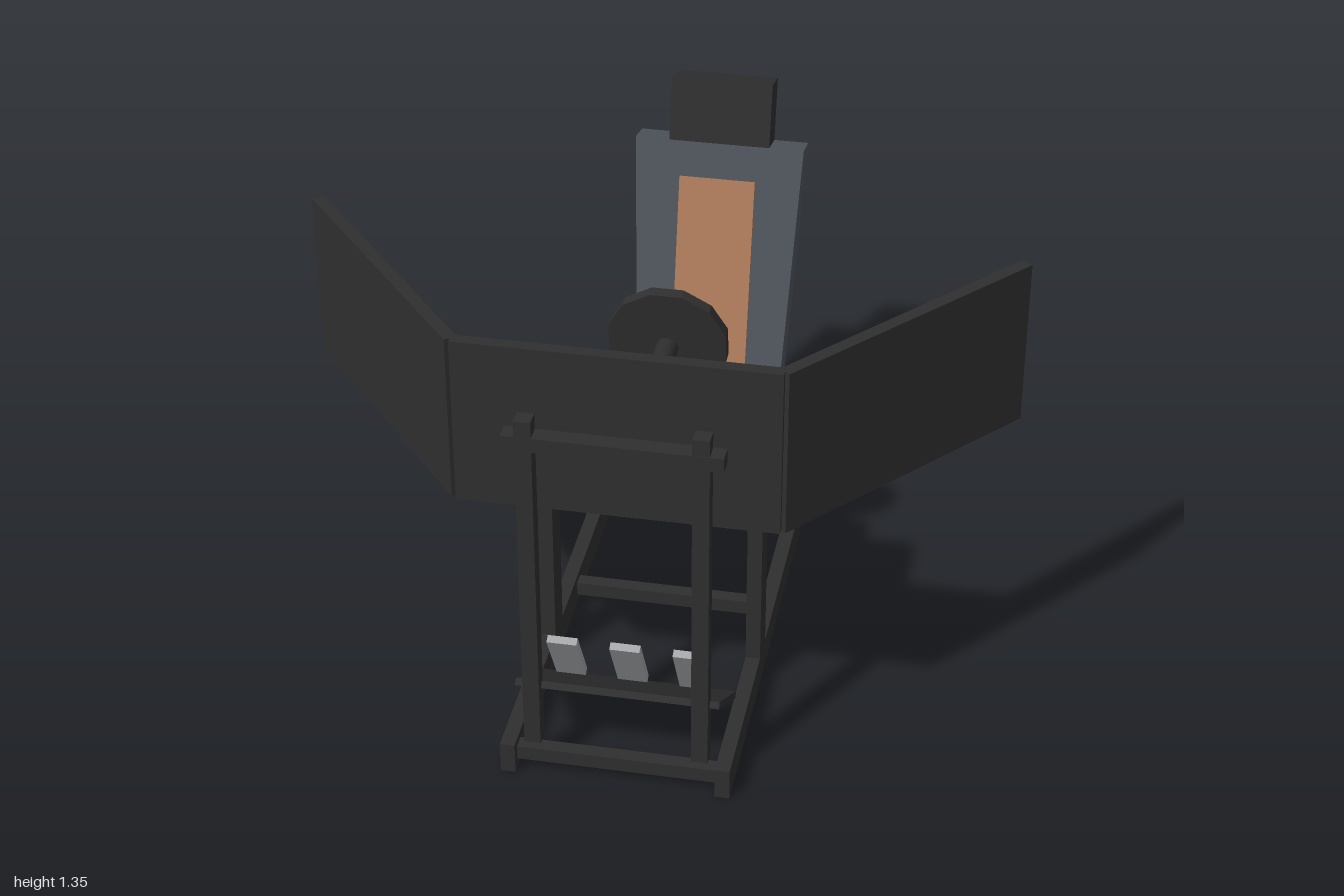
import * as THREE from 'three';

const mat = (name, color, side = THREE.FrontSide) => {
  const m = new THREE.MeshStandardMaterial({ color, side });
  m.name = name;
  return m;
};

export function createModel() {
  const frame = mat('frame charcoal', 0x2f2f2f);
  const screen = mat('screen black', 0x282828);
  const grey = mat('seat grey', 0x50565c);
  const tan = mat('insert tan', 0xb07c5c);
  const metal = mat('pedal metal', 0xa3a5a8);
  const face = mat('wheel face grey', 0x4c5557, THREE.DoubleSide);

  const model = new THREE.Group();
  model.name = 'racingRig';

  const add = (name, geometry, material, x, y, z, parent = model) => {
    const mesh = new THREE.Mesh(geometry, material);
    mesh.name = name;
    mesh.position.set(x, y, z);
    parent.add(mesh);
    return mesh;
  };
  const box = (name, material, w, h, d, x, y, z, parent) =>
    add(name, new THREE.BoxGeometry(w, h, d), material, x, y, z, parent);
  const group = (name, x, y, z) => {
    const g = new THREE.Group();
    g.name = name;
    g.position.set(x, y, z);
    model.add(g);
    return g;
  };

  // Base frame: cross bars between two rails
  for (const z of [0.825, 0.052, -0.7]) box('crossBar', frame, 0.57, 0.042, 0.042, 0, 0.05, z);

  // Mirrored parts
  for (const s of [-1, 1]) {
    box('baseRail', frame, 0.042, 0.093, 1.635, s * 0.3, 0.0465, 0.053);
    box('wheelUpright', frame, 0.042, 0.728, 0.092, s * 0.3, 0.456, 0.315);
    box('monitorPost', frame, 0.046, 1.05, 0.046, s * 0.233, 0.622, 0.827);
    box('seatBolster', frame, 0.058, 0.115, 0.515, s * 0.246, 0.388, -0.342);

    // Angled side monitors
    const side = group('sideMonitor', s * 0.705, 1.09, 0.445);
    side.rotation.y = s * 0.876;
    box('monitorBody', frame, 0.86, 0.485, 0.036, 0, 0, 0.002, side);
    box('screenPanel', screen, 0.835, 0.46, 0.005, 0, 0, -0.0185, side);
  }

  // Centre monitor and its mounting bar
  box('monitorBody', frame, 0.865, 0.485, 0.036, 0, 1.09, 0.777);
  box('screenPanel', screen, 0.84, 0.46, 0.005, 0, 1.09, 0.7565);
  box('monitorBar', frame, 0.585, 0.043, 0.05, 0, 1.078, 0.827);

  // Wheel deck, motor housing and shaft
  box('wheelDeck', frame, 0.642, 0.025, 0.23, 0, 0.833, 0.312);
  box('wheelBase', grey, 0.23, 0.128, 0.226, 0, 0.909, 0.309);
  const shaft = add('wheelShaft', new THREE.CylinderGeometry(0.032, 0.032, 0.13, 12), frame, 0, 0.94, 0.14);
  shaft.rotation.x = Math.PI / 2;

  // Twelve-sided steering wheel with a thin tilted face
  const disc = (name, r, h, material, z, tilt) => {
    const geo = new THREE.CylinderGeometry(r, r, h, 12).toNonIndexed();
    geo.rotateY(Math.PI / 12).rotateX(Math.PI / 2);
    geo.computeVertexNormals();
    add(name, geo, material, 0, 0.957, z).rotation.x = tilt;
  };
  disc('steeringWheel', 0.173, 0.034, frame, 0.075, 0.15);
  disc('wheelFace', 0.126, 0.005, face, 0.046, 0.26);

  // Pedals on a sloping plate
  box('pedalPlate', frame, 0.565, 0.02, 0.325, 0, 0.192, 0.686).rotation.x = -0.572;
  for (const x of [-0.176, 0, 0.176])
    box('pedal', metal, 0.084, 0.215, 0.022, x, 0.258, 0.655).rotation.x = 0.53;

  // Seat cushion
  box('seatCushion', grey, 0.53, 0.115, 0.56, 0, 0.293, -0.34);

  // Reclined backrest, wider at the top, with insert and headrest
  const back = group('seatBack', 0, 0.73, -0.689);
  back.rotation.x = -0.231;
  const outline = new THREE.Shape([
    new THREE.Vector2(-0.218, -0.427), new THREE.Vector2(0.218, -0.427),
    new THREE.Vector2(0.256, 0.427), new THREE.Vector2(-0.256, 0.427),
  ]);
  add('backrest', new THREE.ExtrudeGeometry(outline, { depth: 0.1, bevelEnabled: false }), grey, 0, 0, -0.05, back);
  box('backInsert', tan, 0.23, 0.642, 0.013, 0, -0.004, 0.0565, back);
  box('headrest', frame, 0.304, 0.192, 0.104, 0, 0.523, 0.003, back);

  return model;
}
